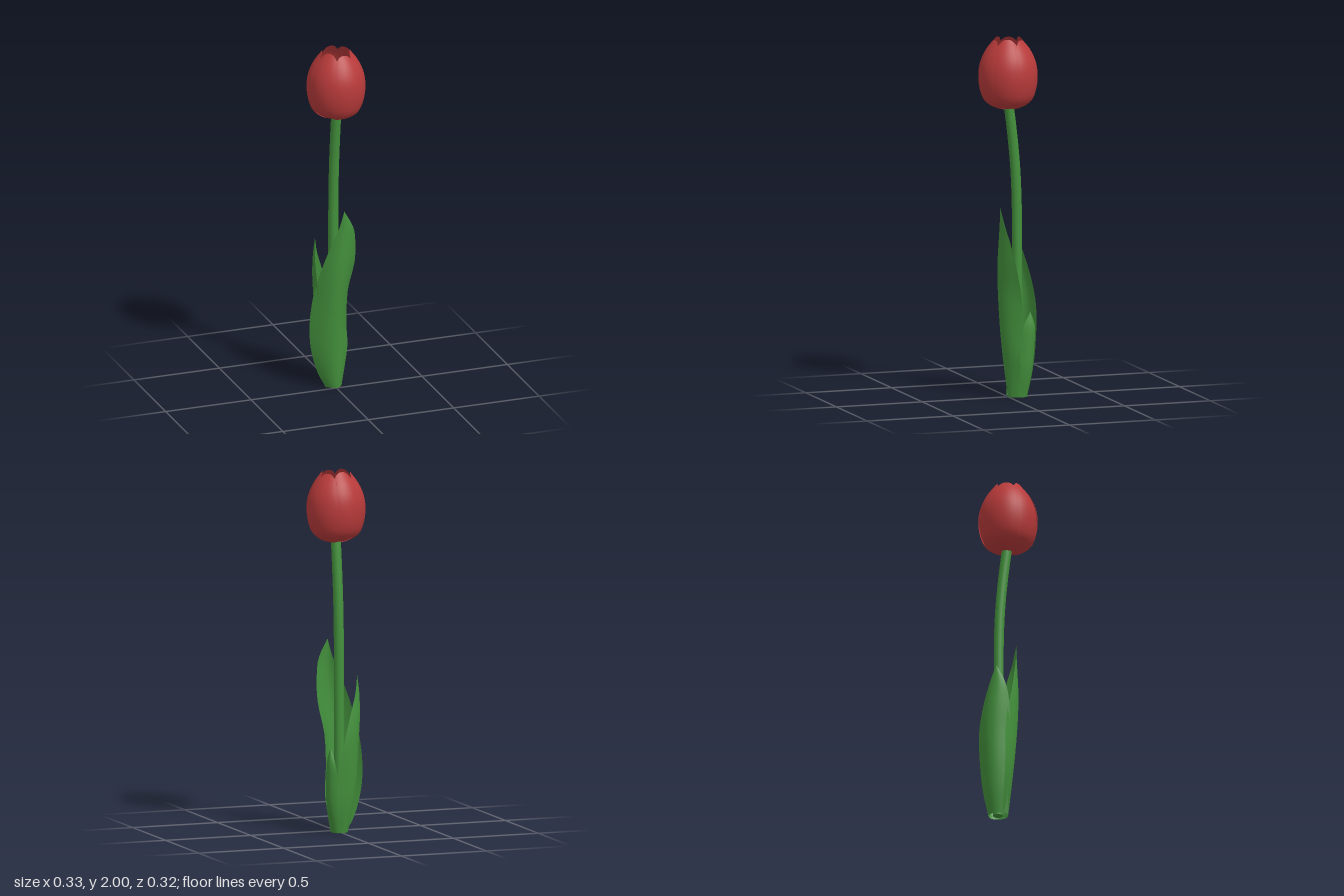
import * as THREE from 'three';

const red = new THREE.MeshStandardMaterial({ color: 0xb83a3a, side: THREE.DoubleSide });
const green = new THREE.MeshStandardMaterial({ color: 0x43903c, side: THREE.DoubleSide });

// Smooth sheet from a rule point(u, v), u and v in 0..1
function sheet(point, nu, nv) {
  const pos = [], index = [];
  for (let j = 0; j <= nv; j++)
    for (let i = 0; i <= nu; i++) pos.push(...point(i / nu, j / nv));
  for (let j = 0; j < nv; j++)
    for (let i = 0; i < nu; i++) {
      const a = j * (nu + 1) + i, b = a + nu + 1;
      index.push(a, a + 1, b, a + 1, b + 1, b);
    }
  const g = new THREE.BufferGeometry();
  g.setAttribute('position', new THREE.Float32BufferAttribute(pos, 3));
  g.setIndex(index);
  g.computeVertexNormals();
  return g;
}

// Leaf blade: rows of [y, edge x, edge z, rib x, rib z, other edge x, other edge z]
function leaf(rows) {
  const curve = k => new THREE.CatmullRomCurve3(rows.map(r => new THREE.Vector3(r[k], r[0], r[k + 1])), false, 'centripetal');
  const [left, rib, right] = [1, 3, 5].map(curve);
  return sheet((u, v) => {
    const a = left.getPoint(v), m = rib.getPoint(v), b = right.getPoint(v);
    const wa = (1 - u) * (1 - 2 * u), wm = 4 * u * (1 - u), wb = u * (2 * u - 1);
    return a.multiplyScalar(wa).addScaledVector(m, wm).addScaledVector(b, wb).toArray();
  }, 10, 24);
}

// Half profile of the closed flower cup: radius, height
const cup = new THREE.CatmullRomCurve3([
  [0.012, 1.6], [0.07, 1.612], [0.13, 1.65], [0.153, 1.7], [0.165, 1.78],
  [0.156, 1.86], [0.125, 1.93], [0.092, 1.975], [0.074, 1.998],
].map(([r, y]) => new THREE.Vector3(r, y, 0)));

function petal(angle, halfWidth, scale, top) {
  return sheet((u, v) => {
    const s = 2 * u - 1;
    // rounded tip: the sides end lower than the middle
    const p = cup.getPointAt(v * (top - 0.12 * Math.abs(s) ** 3));
    const a = angle + s * halfWidth;
    const r = p.x * (scale - 0.015 * s * s);
    return [r * Math.sin(a), p.y + (1 - scale) * 0.1 * (1 - v), r * Math.cos(a)];
  }, 12, 20);
}

export function createModel() {
  const model = new THREE.Group();
  const add = (name, geometry, material, parent = model) => {
    const mesh = new THREE.Mesh(geometry, material);
    mesh.name = name;
    parent.add(mesh);
  };

  // Stem, bending forward to the flower
  const path = new THREE.CatmullRomCurve3([
    [0, 0, -0.055], [0, 0.4, -0.055], [0, 0.8, -0.052], [0, 1.1, -0.05],
    [0, 1.3, -0.04], [0, 1.5, -0.02], [0, 1.63, -0.003],
  ].map(p => new THREE.Vector3(...p)));
  add('stem', new THREE.TubeGeometry(path, 32, 0.028, 12), green);
  const end = new THREE.CircleGeometry(0.028, 12);
  end.rotateX(Math.PI / 2).translate(0, 0.001, -0.055);
  add('stemEnd', end, green);

  // Flower: three outer petals over three inner ones
  const flower = new THREE.Group();
  flower.name = 'flower';
  model.add(flower);
  const step = Math.PI / 3;
  for (let i = 0; i < 6; i++) {
    const outer = i % 2 === 0;
    add(outer ? 'outerPetal' : 'innerPetal',
      petal(0.14 + i * step, outer ? 0.6 : 0.66, outer ? 1 : 0.965, outer ? 0.98 : 1), red, flower);
  }

  // Leaves wrapped around the stem
  add('frontLeaf', leaf([
    [0, -0.05, -0.04, 0, 0, 0.045, -0.04],
    [0.08, -0.09, -0.05, -0.005, 0.008, 0.062, -0.05],
    [0.22, -0.13, -0.05, -0.02, 0.02, 0.08, -0.045],
    [0.36, -0.14, -0.05, -0.02, 0.033, 0.08, -0.06],
    [0.55, -0.12, -0.04, -0.01, 0.05, 0.085, -0.05],
    [0.73, -0.08, 0, 0.01, 0.06, 0.11, -0.01],
    [0.88, -0.03, 0.03, 0.03, 0.06, 0.1, 0.025],
    [0.96, 0, 0.045, 0.035, 0.058, 0.08, 0.045],
    [1.06, 0.025, 0.055, 0.025, 0.055, 0.025, 0.055],
  ]), green);
  add('backLeaf', leaf([
    [0, -0.05, -0.01, -0.035, -0.09, 0.03, -0.1],
    [0.15, -0.075, -0.02, -0.055, -0.115, 0.04, -0.13],
    [0.3, -0.09, -0.02, -0.07, -0.125, 0.045, -0.145],
    [0.5, -0.1, -0.015, -0.085, -0.125, 0.01, -0.16],
    [0.65, -0.108, -0.02, -0.1, -0.11, -0.03, -0.145],
    [0.77, -0.11, -0.045, -0.105, -0.09, -0.07, -0.12],
    [0.87, -0.093, -0.09, -0.093, -0.09, -0.093, -0.09],
  ]), green);
  add('smallLeaf', leaf([
    [0, 0.045, -0.04, 0.045, -0.08, 0.02, -0.105],
    [0.15, 0.07, -0.045, 0.075, -0.1, 0.03, -0.13],
    [0.3, 0.075, -0.055, 0.085, -0.11, 0.04, -0.14],
    [0.4, 0.075, -0.065, 0.085, -0.115, 0.055, -0.135],
    [0.48, 0.07, -0.105, 0.07, -0.105, 0.07, -0.105],
  ]), green);
  return model;
}
